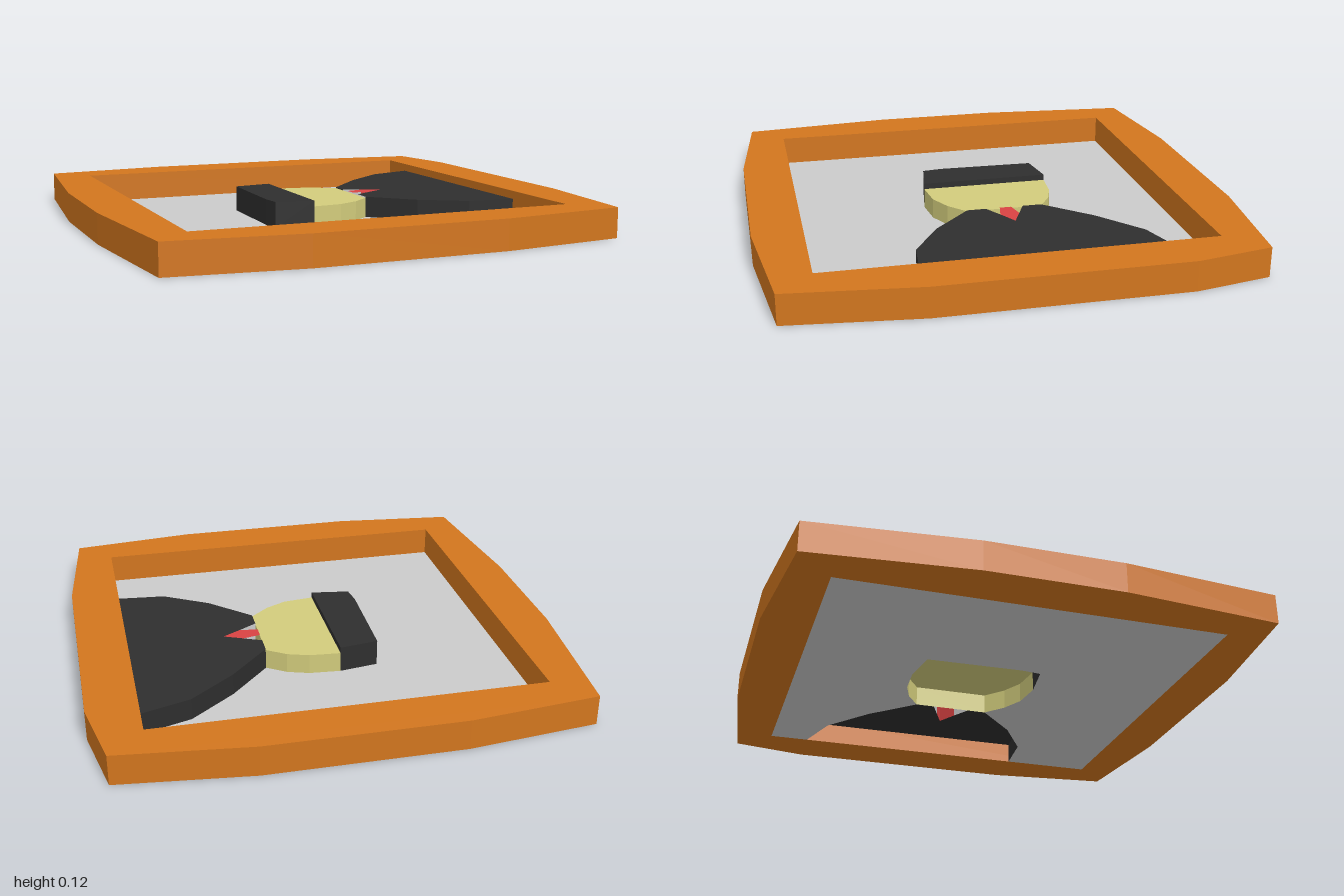
import * as THREE from 'three';

const material = (color) => new THREE.MeshStandardMaterial({ color, flatShading: true, side: THREE.DoubleSide });
const wood = material(0xd2761e), grey = material(0xcccccc), skin = material(0xd2cc7c);
const dark = material(0x2e2e2e), red = material(0xd94343), white = material(0xf2f2f2);

// Outlines are [x, z] pairs seen from above
const shapeOf = (pts) => new THREE.Shape(pts.map(([x, z]) => new THREE.Vector2(x, z)));

function named(name, geometry, mat) {
  const mesh = new THREE.Mesh(geometry, mat);
  mesh.name = name;
  return mesh;
}

// Flat sheet lying at height y
function sheet(name, pts, y, mat) {
  const g = new THREE.ShapeGeometry(shapeOf(pts));
  g.rotateX(Math.PI / 2).translate(0, y, 0);
  return named(name, g, mat);
}

// Upright thin wall following a path from y0 to y1
function wall(name, pts, y0, y1, mat) {
  const pos = [];
  for (let i = 0; i < pts.length - 1; i++) {
    const [ax, az] = pts[i], [bx, bz] = pts[i + 1];
    pos.push(ax, y0, az, bx, y0, bz, bx, y1, bz, ax, y0, az, bx, y1, bz, ax, y1, az);
  }
  const g = new THREE.BufferGeometry();
  g.setAttribute('position', new THREE.Float32BufferAttribute(pos, 3));
  g.computeVertexNormals();
  return named(name, g, mat);
}

export function createModel() {
  const model = new THREE.Group();
  model.name = 'framedRelief';
  const inner = 0.795, skinTop = 0.085, hairTop = 0.11, bodyTop = 0.09;

  // Frame with bowed outer edges and a square opening
  const frameShape = shapeOf([
    [-0.94, -0.94], [-0.4, -1], [0.4, -1], [0.94, -0.94], [1, -0.62], [1, 0.4],
    [0.94, 0.94], [0.4, 1], [-0.4, 1], [-0.94, 0.94], [-1, 0.28], [-1, -0.28],
  ]);
  frameShape.holes.push(shapeOf([[-inner, -inner], [-inner, inner], [inner, inner], [inner, -inner]]));
  const frameGeometry = new THREE.ExtrudeGeometry(frameShape, { depth: 0.125, bevelEnabled: false });
  frameGeometry.rotateX(Math.PI / 2).translate(0, 0.125, 0);
  model.add(named('frame', frameGeometry, wood));

  // Outlines of the hollow figure, running from the back (-z) round to the front
  const hairEdge = [[-0.07, -0.315], [-0.235, -0.29], [-0.245, 0.12], [-0.235, 0.205], [-0.07, 0.23]];
  const faceFront = [[-0.07, 0.23], [0.06, 0.215], [0.15, 0.17], [0.23, 0.1]];
  const faceBack = [[0.23, -0.22], [0.15, -0.275], [0.06, -0.305], [-0.07, -0.315]];
  const bodyBack = [[inner, -0.625], [0.59, -0.56], [0.4, -0.405], [0.23, -0.22]];
  const bodyFront = [[0.23, 0.1], [0.4, 0.265], [0.59, 0.38], [inner, 0.4]];

  // Backing panel, cut out beneath the figure
  model.add(sheet('panel', [
    [inner, inner], [-inner, inner], [-inner, -inner], [inner, -inner],
    ...bodyBack, ...faceBack.slice(1), ...hairEdge.slice(1), ...faceFront.slice(1), ...bodyFront.slice(1),
  ], 0, grey));

  // Head: one face sheet with raised hair over its rear part
  const head = new THREE.Group();
  head.name = 'head';
  head.add(
    sheet('faceTop', [...faceBack, ...hairEdge.slice(1), ...faceFront.slice(1)], skinTop, skin),
    wall('faceSide', [...faceFront, ...faceBack], 0, skinTop, skin),
    sheet('hairTop', hairEdge, hairTop, dark),
    wall('hairSide', hairEdge, 0, hairTop, dark),
    wall('hairline', [hairEdge[4], hairEdge[0]], skinTop, hairTop, dark),
  );
  model.add(head);

  // Jacket with a V-shaped neck opening
  const tip = [0.385, -0.07];
  const collars = [[[0.23, -0.14], [0.305, -0.106]], [[0.23, 0.02], [0.305, -0.025]]];
  const body = new THREE.Group();
  body.name = 'body';
  body.add(
    sheet('jacketTop', [...bodyBack, ...collars[0], tip, ...collars[1].slice().reverse(), ...bodyFront], bodyTop, dark),
    wall('jacketBackSide', bodyBack, 0, bodyTop, dark),
    wall('jacketFrontSide', bodyFront, 0, bodyTop, dark),
  );

  // White collar sides and red tie in the opening
  for (const [neck, mid] of collars) {
    body.add(wall('collarSide', [neck, mid], 0, bodyTop, white));
    body.add(wall('tieSide', [mid, tip], 0, bodyTop, red));
  }
  body.add(sheet('tieTop', [[0.23, -0.09], collars[0][1], tip, collars[1][1], [0.23, -0.04]], bodyTop, red));
  model.add(body);

  return model;
}
